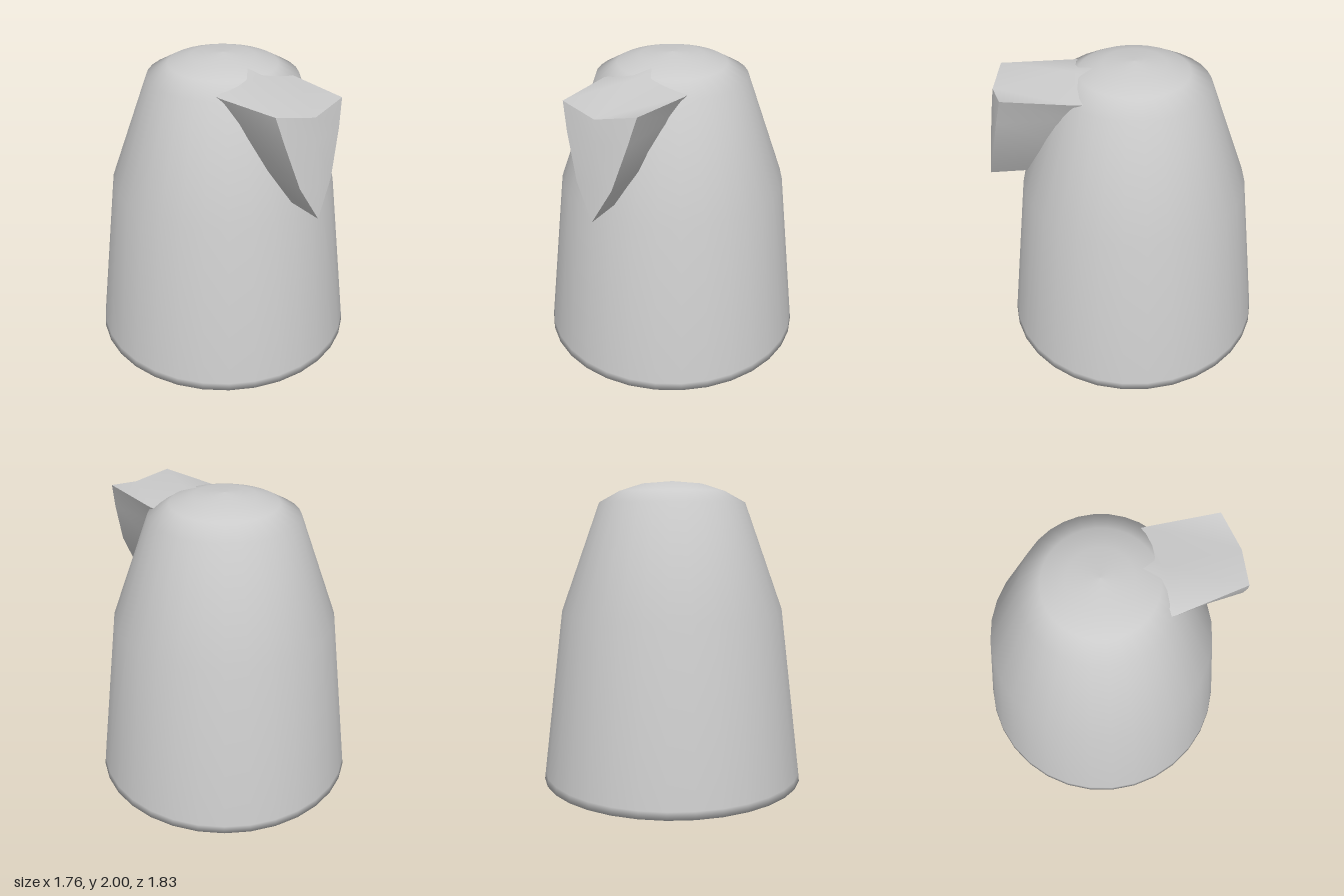
import * as THREE from 'three';
import { toCreasedNormals } from 'three/addons/utils/BufferGeometryUtils.js';

const material = new THREE.MeshStandardMaterial({ color: 0xcccccc, side: THREE.DoubleSide });

// Half section (centre top, corner, two side points, tip) mirrored into a
// closed ring, counterclockwise seen from the front.
function ring(half) {
  const left = half.map(([x, y, z]) => new THREE.Vector3(-x, y, z));
  const right = half.slice(1, -1).reverse().map((p) => new THREE.Vector3(...p));
  return [...left, ...right];
}

function createBody() {
  const profile = [
    [0, 0], [0.88, 0], [0.874, 0.05], [0.74, 1.15], [0.485, 1.86],
    [0.35, 1.935], [0.2, 1.983], [0, 2],
  ].map(([r, y]) => new THREE.Vector2(r, y));
  const body = new THREE.Mesh(new THREE.LatheGeometry(profile, 32), material);
  body.name = 'body';
  body.position.z = -0.03;
  return body;
}

function createSpout() {
  // Sections from inside the body to the lip
  const rings = [
    [[0, 1.985, 0.1], [0.3, 1.88, 0.1], [0.24, 1.74, 0.1], [0.13, 1.46, 0.1], [0, 1.24, 0.1]],
    [[0, 1.948, 0.34], [0.295, 1.88, 0.34], [0.235, 1.74, 0.34], [0.125, 1.46, 0.34], [0, 1.24, 0.34]],
    [[0, 1.86, 0.84], [0.247, 1.905, 0.79], [0.205, 1.74, 0.825], [0.12, 1.46, 0.875], [0, 1.24, 0.915]],
  ].map(ring);
  const positions = [];
  const quad = (a, b, c, d) => {
    for (const p of [a, b, c, a, c, d]) positions.push(p.x, p.y, p.z);
  };

  // Walls and top
  for (let k = 0; k < rings.length - 1; k++) {
    const back = rings[k], front = rings[k + 1], n = back.length;
    for (let i = 0; i < n; i++) {
      const j = (i + 1) % n;
      quad(back[i], back[j], front[j], front[i]);
    }
  }

  // Rounded front, bulging along the centre line down to the tip
  const lip = rings[rings.length - 1];
  const n = lip.length;
  const tip = lip[4];
  const centre = [lip[0], new THREE.Vector3(0, 1.72, 0.86), new THREE.Vector3(0, 1.46, 0.893), tip];
  for (let k = 0; k < 3; k++) {
    const rightTop = lip[n - 1 - k], rightLow = lip[n - 2 - k];
    quad(lip[k + 1], lip[k + 2], centre[k + 1], centre[k]);
    quad(centre[k], centre[k + 1], rightLow, rightTop);
  }

  const geometry = new THREE.BufferGeometry();
  geometry.setAttribute('position', new THREE.Float32BufferAttribute(positions, 3));
  const spout = new THREE.Mesh(toCreasedNormals(geometry, 0.75), material);
  spout.name = 'spout';
  return spout;
}

export function createModel() {
  const model = new THREE.Group();
  model.name = 'spoutedVessel';
  model.add(createBody(), createSpout());
  return model;
}
